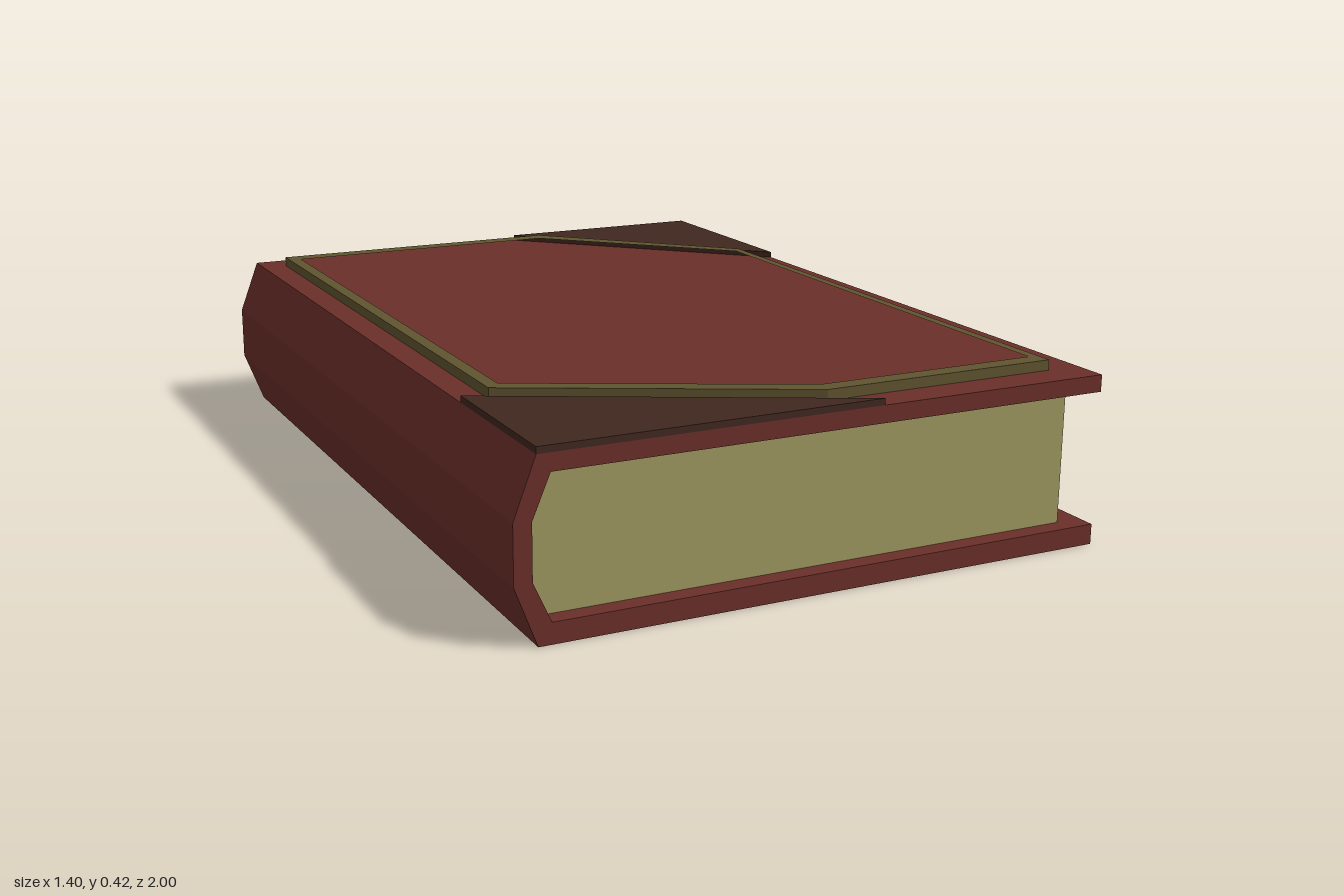
import * as THREE from 'three';

const toPoints = (list) => list.map(([a, b]) => new THREE.Vector2(a, b));

function addPart(group, name, geometry, color) {
  const material = new THREE.MeshStandardMaterial({ color, flatShading: true });
  const mesh = new THREE.Mesh(geometry, material);
  mesh.name = name;
  group.add(mesh);
}

// Extrudes an x-y section along z, centred on z = 0
function prism(section, length) {
  const shape = new THREE.Shape(toPoints(section));
  return new THREE.ExtrudeGeometry(shape, { depth: length, bevelEnabled: false })
    .translate(0, 0, -length / 2);
}

// Raises an x-z outline from one height to another
function slab(outline, bottom, top, hole) {
  const flip = (list) => toPoints(list.map(([x, z]) => [x, -z]));
  const shape = new THREE.Shape(flip(outline));
  if (hole) shape.holes.push(new THREE.Path(flip(hole)));
  return new THREE.ExtrudeGeometry(shape, { depth: top - bottom, bevelEnabled: false })
    .rotateX(-Math.PI / 2)
    .translate(0, bottom, 0);
}

export function createModel() {
  const book = new THREE.Group();
  book.name = 'book';
  const red = 0x6b2f29, paper = 0x9f9860, gilt = 0x5f5430, leather = 0x3f271f;
  const coverTop = 0.394;

  // Two boards joined by a faceted spine
  addPart(book, 'cover', prism([
    [0.7, 0], [0.7, 0.047], [-0.62, 0.047], [-0.66, 0.135], [-0.66, 0.26],
    [-0.62, 0.355], [0.7, 0.355], [0.7, coverTop], [-0.65, coverTop],
    [-0.7, 0.263], [-0.7, 0.131], [-0.65, 0],
  ], 2), red);

  // Page block, set back from the three open edges
  addPart(book, 'pages', prism([
    [0.638, 0.047], [0.638, 0.355], [-0.62, 0.355],
    [-0.657, 0.26], [-0.657, 0.135], [-0.62, 0.047],
  ], 1.914), paper);

  // Raised border on the top board
  addPart(book, 'border', slab(
    [[-0.587, -0.926], [0.185, -0.926], [0.618, -0.487], [0.618, 0.919], [0.046, 0.919], [-0.587, 0.6]],
    coverTop - 0.005, 0.418,
    [[-0.556, -0.879], [0.165, -0.879], [0.594, -0.458], [0.594, 0.877], [0.056, 0.877], [-0.556, 0.574]],
  ), gilt);

  // Corner patches
  addPart(book, 'backCorner', slab([[0.135, -1], [0.7, -1], [0.7, -0.442]], coverTop, 0.409), leather);
  addPart(book, 'frontCorner', slab([[-0.65, 0.602], [-0.65, 1], [0.135, 1]], coverTop, 0.409), leather);

  return book;
}
